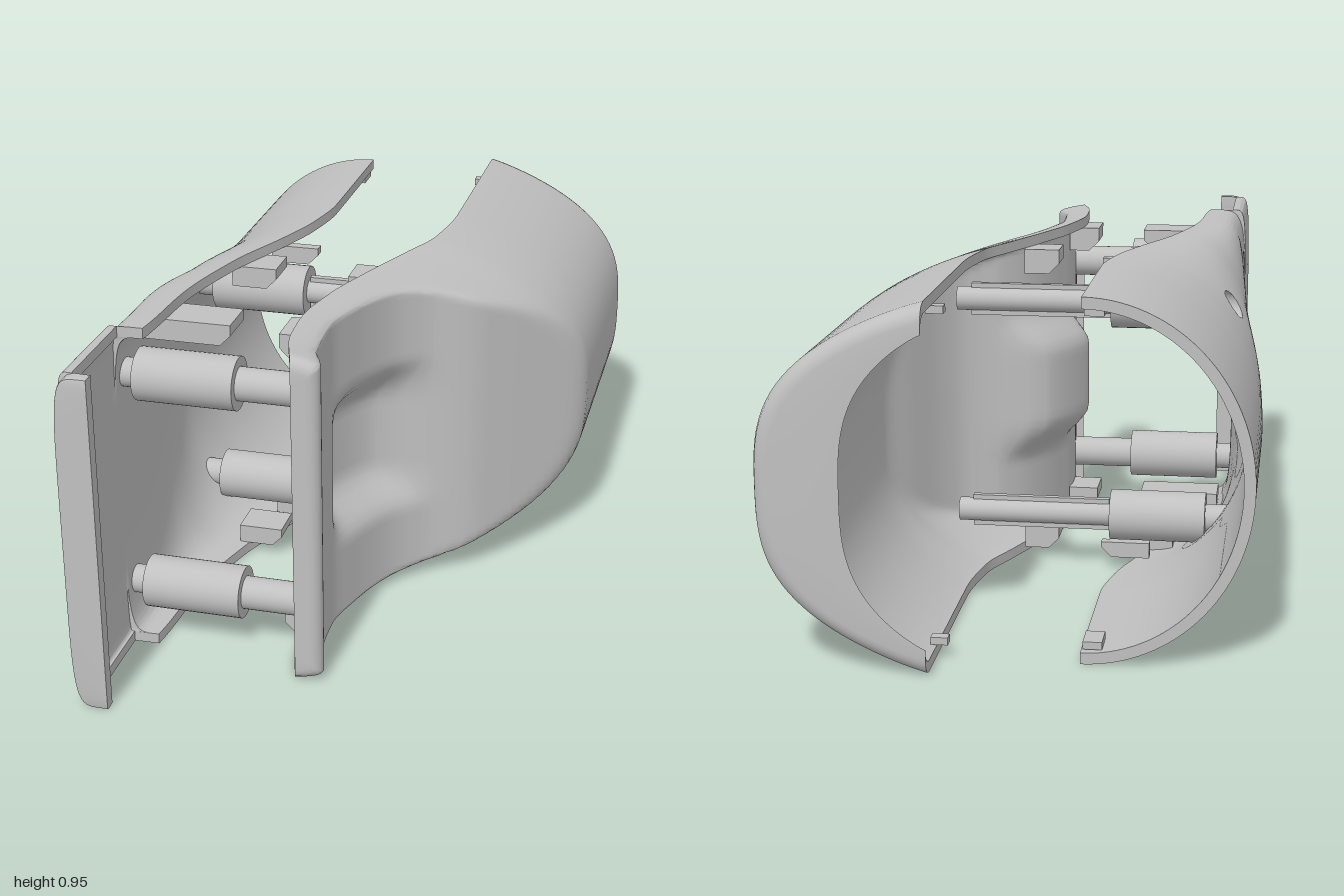
import * as THREE from 'three';
import { toCreasedNormals } from 'three/addons/utils/BufferGeometryUtils.js';

const MID = 0.475, HOLE_R = 0.04;
const PEG_Y = [0.79, 0.16], PEG_Z = [0.59, -0.085];
const clamp = THREE.MathUtils.clamp, smooth = THREE.MathUtils.smoothstep;

// monotone smooth curve through [z, value] pairs
function curve(...k) {
  const sl = k.slice(1).map((p, i) => (p[1] - k[i][1]) / (p[0] - k[i][0]));
  const tan = k.map((_, i) => {
    const a = sl[i - 1], b = sl[i];
    if (a === undefined || b === undefined) return a ?? b;
    return a * b <= 0 ? 0 : (2 * a * b) / (a + b);
  });
  return (z) => {
    if (z <= k[0][0]) return k[0][1];
    if (z >= k[k.length - 1][0]) return k[k.length - 1][1];
    let i = 0;
    while (z > k[i + 1][0]) i++;
    const h = k[i + 1][0] - k[i][0], t = (z - k[i][0]) / h, t2 = t * t, t3 = t2 * t;
    return (2 * t3 - 3 * t2 + 1) * k[i][1] + (t3 - 2 * t2 + t) * h * tan[i]
      + (3 * t2 - 2 * t3) * k[i + 1][1] + (t3 - t2) * h * tan[i + 1];
  };
}

// quarter-round inset at distance d from an end
const round = (d, r) => (d >= r ? 0 : r - Math.sqrt(Math.max(0, r * r - (r - d) * (r - d))));
// minimum of two values with a blended corner
const softMin = (a, b, k) => Math.min(a, b) - Math.max(k - Math.abs(a - b), 0) ** 2 / (4 * k);

// each profile gives the distance from the split edge, at height v (0 middle, 1 edge)
const leftPower = curve([-0.86, 2], [-0.2, 2], [0.15, 2.6], [0.45, 5], [1, 6]);
const leftOuter = curve([-0.86, -0.62], [-0.3, -0.62], [-0.08, -0.613], [0.13, -0.58], [0.34, -0.55], [0.55, -0.535], [1, -0.535]);
const leftSplit = curve([-0.86, -0.185], [-0.4, -0.187], [-0.24, -0.21], [-0.08, -0.26], [0.13, -0.34], [0.4, -0.4],
  [0.659, -0.42], [0.661, -0.49], [0.964, -0.49], [0.966, -0.44], [1, -0.44]);
const leftShell = {
  dir: -1, z0: -0.855, z1: 1, extra: [0.659, 0.661, 0.964, 0.966, 0.994, 0.998], holes: true,
  split: leftSplit,
  profile: (v, z, cut) => Math.max(0, leftSplit(z) - leftOuter(z) - cut)
    * Math.pow(1 - Math.pow(v, leftPower(z)), 1 / leftPower(z)),
  wall: curve([-0.86, 0.03], [0.964, 0.03], [0.966, 0.2], [1, 0.2]),
  inset: (z) => round(1 - z, 0.006),
  recess: () => 0,
};

const rightSplit = curve([-1, 0.185], [-0.4, 0.187], [-0.2, 0.165], [-0.05, 0.11], [0.16, 0.03], [0.3, -0.015],
  [0.48, -0.045], [0.6, -0.04], [0.75, 0]);
// sloping and scooped face that cuts the front of the rear tube
const rightFace = curve([-1, 0.72], [-0.33, 0.72], [-0.27, 0.67], [-0.22, 0.615], [0.02, 0.37], [0.05, 0.335],
  [0.11, 0.215], [0.2, 0.125], [0.35, 0.06], [0.48, 0.03], [0.64, 0.04], [0.71, 0.07], [0.75, 0.075]);
const rightShell = {
  dir: 1, z0: -1, z1: 0.75, extra: [-0.998, -0.992, -0.985, 0.1, 0.12, 0.714, 0.716, 0.735, 0.743, 0.748], holes: false,
  split: rightSplit,
  profile: (v, z, cut) => {
    const tube = Math.max(0, 0.62 - rightSplit(z) - cut) * Math.pow(1 - v * v * v, 0.9);
    return Math.max(0, softMin(tube, Math.max(0, rightFace(z) - rightSplit(z) - cut), 0.045));
  },
  wall: curve([-1, 0.18], [-0.25, 0.17], [0.02, 0.07], [0.2, 0.035], [0.714, 0.035], [0.716, 0.7], [0.75, 0.7]),
  inset: (z) => round(z + 1, 0.045) + round(0.75 - z, 0.035),
  // scooped thumb rest
  recess: (y, z) => 0.095 * (1 - smooth(Math.abs(y - MID), 0.1, 0.24))
    * smooth(z, 0.085, 0.15) * (1 - smooth(z, 0.34, 0.47)),
};

// x of the outer or inner skin at a given y and z
function skinX(s, y, z, inner) {
  const e = s.inset(z), half = MID - e - (inner ? 0.03 : 0);
  const v = clamp(Math.abs(y - MID) / half, 0, 1);
  return s.split(z) + s.dir * (s.profile(v, z, e + (inner ? s.wall(z) : 0)) - s.recess(y, z));
}

// closed thick shell lofted along z, with optional round screw holes
function shellGeometry(s) {
  const M = 92, N = 2 * (M + 1), ROWS = 84, zs = [...s.extra];
  for (let i = 0; i <= ROWS; i++) zs.push(s.z0 + ((s.z1 - s.z0) * i) / ROWS);
  zs.sort((a, b) => a - b);
  const pos = [], onHole = [], idx = [];
  for (const z0 of zs) {
    for (let j = 0; j < N; j++) {
      const inner = j > M, t = (2 * (inner ? N - 1 - j : j)) / M - 1;
      const v = Math.sin((Math.PI / 2) * Math.sin((Math.PI / 2) * t));
      let y = MID + v * (MID - s.inset(z0) - (inner ? 0.03 : 0)), z = z0, hit = false;
      if (s.holes) for (const hy of PEG_Y) for (const hz of PEG_Z) {
        const d = Math.hypot(y - hy, z - hz);
        if (d < HOLE_R) {
          const a = Math.atan2(y - hy, z - hz);
          y = hy + HOLE_R * Math.sin(a);
          z = hz + HOLE_R * Math.cos(a);
          hit = true;
        }
      }
      pos.push(skinX(s, y, z, inner), y, z);
      onHole.push(hit);
    }
  }
  const tri = (a, b, c) => {
    if (onHole[a] && onHole[b] && onHole[c]) return;
    if (s.dir > 0) idx.push(a, b, c); else idx.push(a, c, b);
  };
  const quad = (a, b, c, d) => { tri(a, b, c); tri(a, c, d); };
  for (let i = 0; i < zs.length - 1; i++) for (let j = 0; j < N; j++) {
    const k = (j + 1) % N, r = i * N;
    quad(r + j, r + k, r + N + k, r + N + j);
  }
  const last = (zs.length - 1) * N;
  for (let j = 0; j < M; j++) {
    quad(j + 1, j, N - 1 - j, N - 2 - j);
    quad(last + j, last + j + 1, last + N - 2 - j, last + N - 1 - j);
  }
  const g = new THREE.BufferGeometry();
  g.setAttribute('position', new THREE.Float32BufferAttribute(pos, 3));
  g.setIndex(idx);
  return toCreasedNormals(g, 0.75);
}

export function createModel() {
  const group = new THREE.Group();
  const grey = new THREE.MeshStandardMaterial({ color: 0xc0c0c0, side: THREE.DoubleSide });
  grey.name = 'plain grey';
  const add = (name, geo) => {
    const m = new THREE.Mesh(geo, grey);
    m.name = name;
    group.add(m);
    return m;
  };
  const rod = (name, r, x0, x1, y, z) =>
    add(name, new THREE.CylinderGeometry(r, r, x1 - x0, 32).rotateZ(Math.PI / 2)).position.set((x0 + x1) / 2, y, z);
  const box = (name, x0, x1, y0, y1, z0, z1) =>
    add(name, new THREE.BoxGeometry(x1 - x0, y1 - y0, z1 - z0)).position.set((x0 + x1) / 2, (y0 + y1) / 2, (z0 + z1) / 2);
  // support block running from the wall to a tip with one chamfered corner
  const block = (name, far, tip, y0, y1, z0, z1) => {
    const c = 0.03 * Math.sign(tip - far);
    const sh = new THREE.Shape([[far, y0], [tip - c, y0], [tip, y0 + 0.03], [tip, y1], [far, y1]]
      .map((p) => new THREE.Vector2(...p)));
    add(name, new THREE.ExtrudeGeometry(sh, { depth: z1 - z0, bevelEnabled: false })).position.z = z0;
  };

  add('leftShell', shellGeometry(leftShell));
  add('rightShell', shellGeometry(rightShell));

  for (const y of PEG_Y) {
    for (const z of PEG_Z) {
      const front = z > 0;
      // screw posts and the pins that enter them
      rod('screwPost', 0.073, -0.46, -0.185, y, z);
      rod('pin', front ? 0.046 : 0.034, -0.19, front ? 0.01 : 0.26, y, z);
      // screw hole lining, trimmed to the outer skin
      const g = new THREE.CylinderGeometry(HOLE_R, HOLE_R, 1, 28, 1, true).rotateZ(Math.PI / 2);
      const p = g.attributes.position;
      for (let i = 0; i < p.count; i++) {
        const outerEnd = p.getX(i) < 0;
        p.setX(i, outerEnd ? skinX(leftShell, p.getY(i) + y, p.getZ(i) + z, false) : -0.455);
      }
      add('screwHole', g).position.set(0, y, z);
    }
    // upright rib through each rear pin
    box('pinRib', -0.18, 0.22, y - 0.046, y + 0.046, -0.095, -0.075);
  }

  // support blocks along the upper and lower walls
  for (const [y0, y1] of [[0.86, 0.92], [0.03, 0.085]]) {
    block('leftBlock', -0.47, -0.23, y0, y1, 0.4, 0.52);
    block('leftBlock', -0.36, -0.23, y0, y1, -0.01, 0.1);
    block('leftBlock', -0.3, -0.16, y0 + 0.01, y1, -0.12, -0.09);
    block('rightBlock', 0, -0.09, y0 - 0.01, y1, 0.42, 0.54);
    block('rightBlock', 0.08, -0.02, y0 - 0.01, y1, 0, 0.1);
  }

  // small edge clips near the open rear
  for (const y of [0.9, 0.035]) {
    box('rearClip', 0.155, 0.2, y, y + 0.02, -0.86, -0.83);
    box('leftRearClip', -0.24, -0.19, y, y + 0.02, -0.84, -0.76);
  }
  return group;
}
